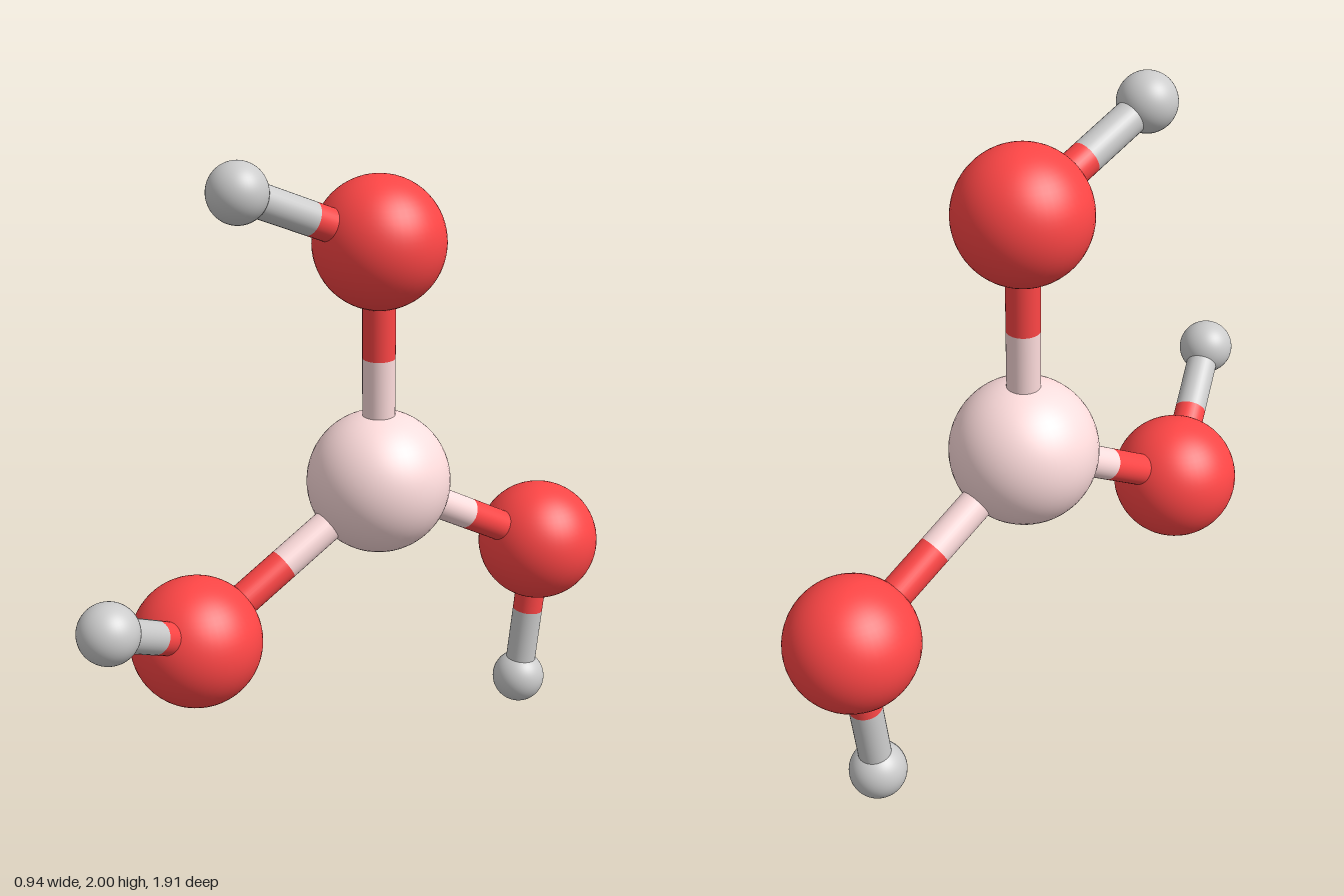
import * as THREE from 'three';

const paint = (color) => new THREE.MeshStandardMaterial({ color });
const PINK = paint(0xffdddd);
const RED = paint(0xff4646);
const GREY = paint(0xcccccc);
const BOND_RADIUS = 0.05;

export function createModel() {
  const model = new THREE.Group();
  const UP = new THREE.Vector3(0, 1, 0);

  function atom(name, center, radius, material) {
    const mesh = new THREE.Mesh(new THREE.SphereGeometry(radius, 48, 32), material);
    mesh.name = name;
    mesh.position.copy(center);
    model.add(mesh);
  }

  // One coloured length of stick between two points
  function stick(name, from, to, material) {
    const dir = to.clone().sub(from);
    const geometry = new THREE.CylinderGeometry(BOND_RADIUS, BOND_RADIUS, dir.length(), 32);
    const mesh = new THREE.Mesh(geometry, material);
    mesh.name = name;
    mesh.position.copy(from).add(to).multiplyScalar(0.5);
    mesh.quaternion.setFromUnitVectors(UP, dir.normalize());
    model.add(mesh);
  }

  // A bond changes colour part way along
  function bond(name, from, to, split, fromMaterial, toMaterial) {
    const middle = from.clone().lerp(to, split);
    stick(name + 'Inner', from, middle, fromMaterial);
    stick(name + 'Outer', middle, to, toMaterial);
  }

  // Central atom
  const center = new THREE.Vector3(0, 0.965, -0.16);
  atom('centralAtom', center, 0.222, PINK);

  // Three arms: large red atom, then small grey end atom
  const arms = [
    { name: 'top', red: [0, 1.713, -0.155], grey: [-0.19, 1.914, 0.272] },
    { name: 'front', red: [-0.275, 0.587, 0.42], grey: [-0.217, 0.828, 0.867] },
    { name: 'back', red: [0.264, 0.6, -0.758], grey: [0.237, 0.089, -0.714] },
  ];
  for (const { name, red, grey } of arms) {
    const redCenter = new THREE.Vector3(...red);
    const greyCenter = new THREE.Vector3(...grey);
    atom(name + 'RedAtom', redCenter, 0.198, RED);
    atom(name + 'EndAtom', greyCenter, 0.088, GREY);
    bond(name + 'Bond', center, redCenter, 0.53, PINK, RED);
    bond(name + 'EndBond', redCenter, greyCenter, 0.5, RED, GREY);
  }

  return model;
}
